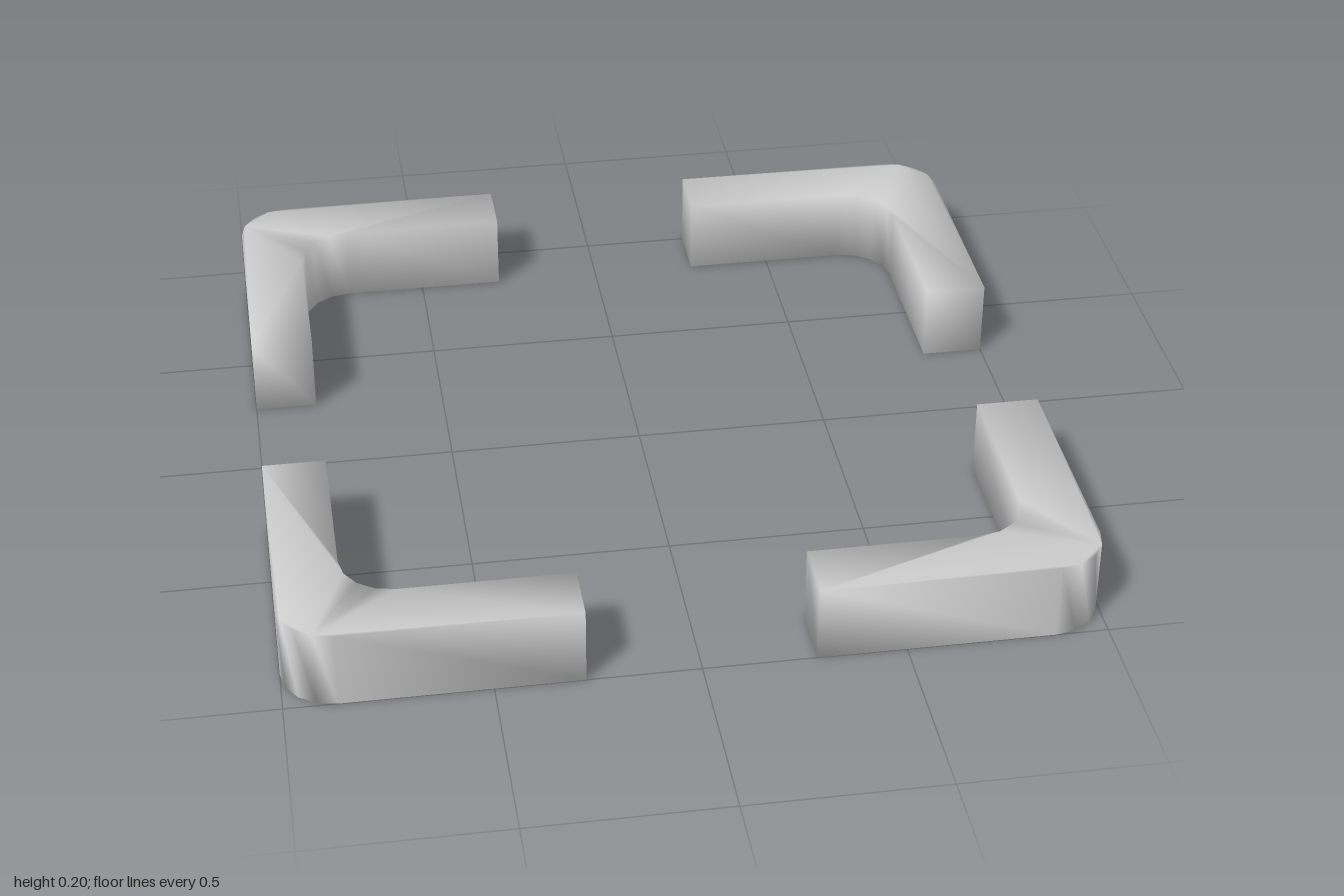
import * as THREE from 'three';
import { mergeVertices } from 'three/addons/utils/BufferGeometryUtils.js';

const OUTER = 1, INNER = 0.84, END = 0.28, HEIGHT = 0.2, RADIUS = 0.13;

// L-shaped outline with a rounded outer and inner corner
function bracketGeometry() {
  const o = OUTER - RADIUS, i = INNER - RADIUS;
  const shape = new THREE.Shape();
  shape.moveTo(INNER, END);
  shape.lineTo(OUTER, END);
  shape.absarc(o, o, RADIUS, 0, Math.PI / 2, false);
  shape.lineTo(END, OUTER);
  shape.lineTo(END, INNER);
  shape.absarc(i, i, RADIUS, Math.PI / 2, 0, true);
  shape.closePath();

  // An arc takes twice this many segments: four per corner
  const geometry = new THREE.ExtrudeGeometry(shape, {
    depth: HEIGHT, bevelEnabled: false, curveSegments: 2,
  });
  geometry.rotateX(-Math.PI / 2);

  // Shared vertices give the soft shading across the edges
  geometry.deleteAttribute('normal');
  geometry.deleteAttribute('uv');
  const smooth = mergeVertices(geometry, 1e-3);
  smooth.computeVertexNormals();
  return smooth;
}

export function createModel() {
  const group = new THREE.Group();
  group.name = 'cornerFrame';
  const material = new THREE.MeshStandardMaterial({ color: 0xcccccc });
  const geometry = bracketGeometry();

  // One bracket per corner, turned in quarter steps
  const names = ['backLeftCorner', 'backRightCorner', 'frontRightCorner', 'frontLeftCorner'];
  names.forEach((name, k) => {
    const bracket = new THREE.Mesh(geometry, material);
    bracket.name = name;
    bracket.rotation.y = k * Math.PI / 2;
    group.add(bracket);
  });
  return group;
}
